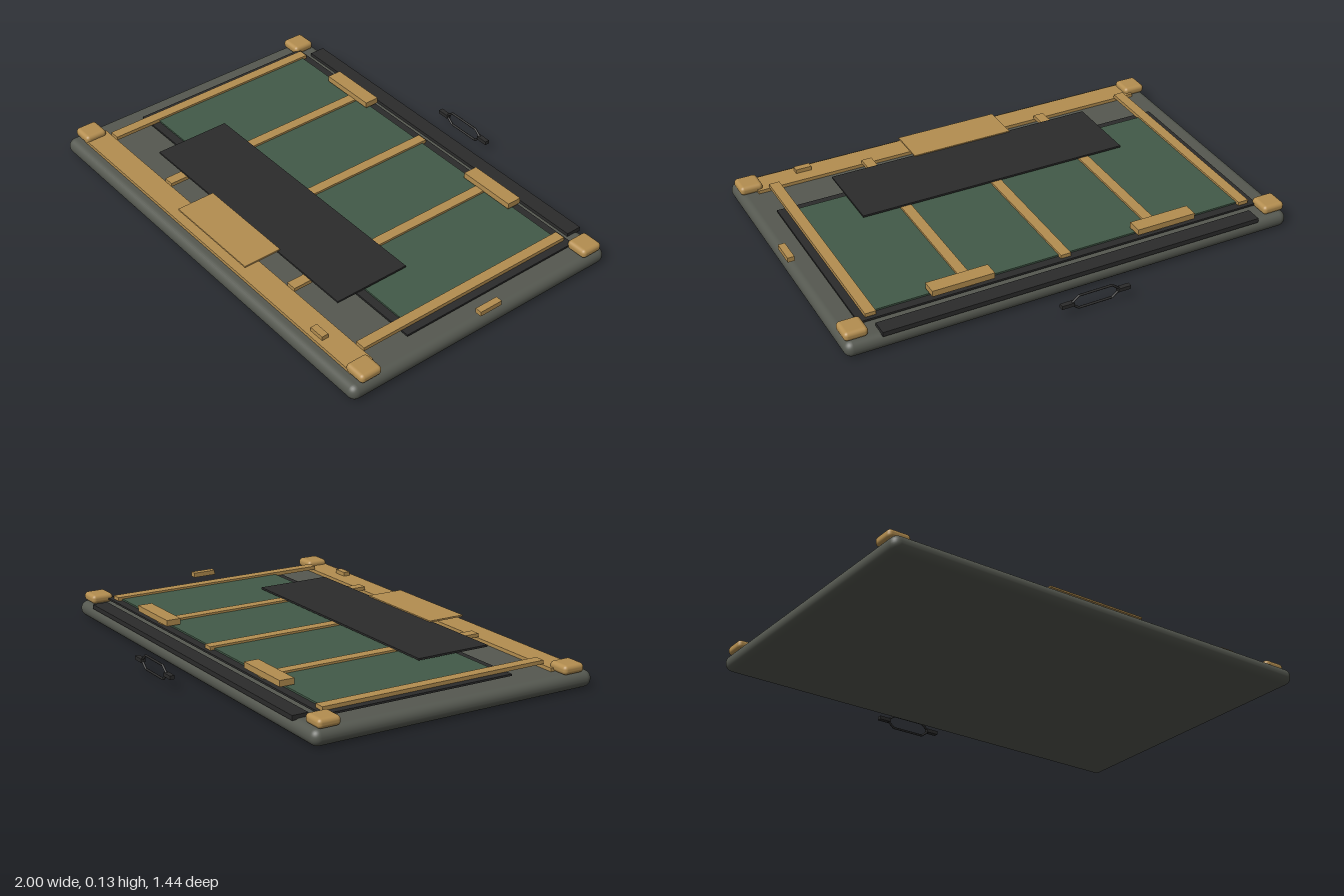
import * as THREE from 'three';
import { RoundedBoxGeometry } from 'three/addons/geometries/RoundedBoxGeometry.js';

export function createModel() {
  const model = new THREE.Group();
  const mat = (name, color) => {
    const m = new THREE.MeshStandardMaterial({ color });
    m.name = name;
    return m;
  };
  const shell = mat('olive grey', 0x555850);
  const tan = mat('tan', 0xb48e50);
  const green = mat('dark green', 0x425a48);
  const black = mat('charcoal', 0x2b2b2b);

  // Box given by its limits on each axis; a radius rounds its edges
  const box = (name, material, [x0, x1], [y0, y1], [z0, z1], radius = 0) => {
    const size = [x1 - x0, y1 - y0, z1 - z0];
    const geo = radius
      ? new RoundedBoxGeometry(...size, 4, radius)
      : new THREE.BoxGeometry(...size);
    const mesh = new THREE.Mesh(geo, material);
    mesh.name = name;
    mesh.position.set((x0 + x1) / 2, (y0 + y1) / 2, (z0 + z1) / 2);
    model.add(mesh);
    return mesh;
  };

  // Main slab and rear strip
  box('base', shell, [-1, 0.994], [0, 0.07], [-0.585, 0.72], 0.034);
  box('rearStrip', black, [-0.85, 0.843], [0.065, 0.085], [-0.585, 0.0 - 0.515]);

  // Corner bumpers
  for (const x of [-0.945, 0.938])
    for (const z of [-0.512, 0.624])
      box('cornerBumper', tan, [x - 0.05, x + 0.05], [0.068, 0.108], [z - 0.05, z + 0.05], 0.017);

  // Layered screen
  box('screenBezel', black, [-0.905, 0.9], [0.08, 0.088], [-0.487, 0.382]);
  box('screen', green, [-0.832, 0.825], [0.087, 0.095], [-0.45, 0.345]);

  // Front rail with latch and raised plate
  box('frontRail', tan, [-0.925, 0.915], [0.069, 0.085], [0.562, 0.67]);
  box('latch', tan, [0.652, 0.722], [0.084, 0.103], [0.62, 0.65]);
  box('frontPlate', tan, [-0.236, 0.227], [0.109, 0.116], [0.474, 0.646]);

  // Ribs running front to back
  for (const x of [-0.85, -0.43, -0.004, 0.417, 0.843])
    box('rib', tan, [x - 0.023, x + 0.023], [0.088, 0.104], [-0.47, 0.565]);

  // Dark cover panel and rear hinges
  box('coverPanel', black, [-0.615, 0.61], [0.103, 0.111], [0.145, 0.486]);
  for (const x of [-0.464, 0.456])
    box('hinge', tan, [x - 0.135, x + 0.135], [0.102, 0.128], [-0.486, -0.421]);

  // Side button
  box('sideButton', tan, [0.97, 1], [0.095, 0.116], [-0.005, 0.102]);

  // Rear handle: a long loop with a stub at each end
  const handle = new THREE.Group();
  handle.name = 'handle';
  handle.position.set(-0.003, 0.053, -0.712);
  const corners = [[-0.11, 0], [-0.075, 0.029], [0.075, 0.029], [0.11, 0], [0.075, -0.029], [-0.075, -0.029]];
  const path = new THREE.CurvePath();
  corners.forEach((c, i) => {
    const d = corners[(i + 1) % corners.length];
    path.add(new THREE.LineCurve3(new THREE.Vector3(...c, 0), new THREE.Vector3(...d, 0)));
  });
  const loop = new THREE.Mesh(new THREE.TubeGeometry(path, 96, 0.005, 8, true), black);
  loop.name = 'handleLoop';
  handle.add(loop);
  for (const side of [-1, 1]) {
    const stub = new THREE.Mesh(new THREE.BoxGeometry(0.055, 0.016, 0.021), black);
    stub.name = 'handleStub';
    stub.position.x = side * 0.126;
    handle.add(stub);
  }
  model.add(handle);

  return model;
}
